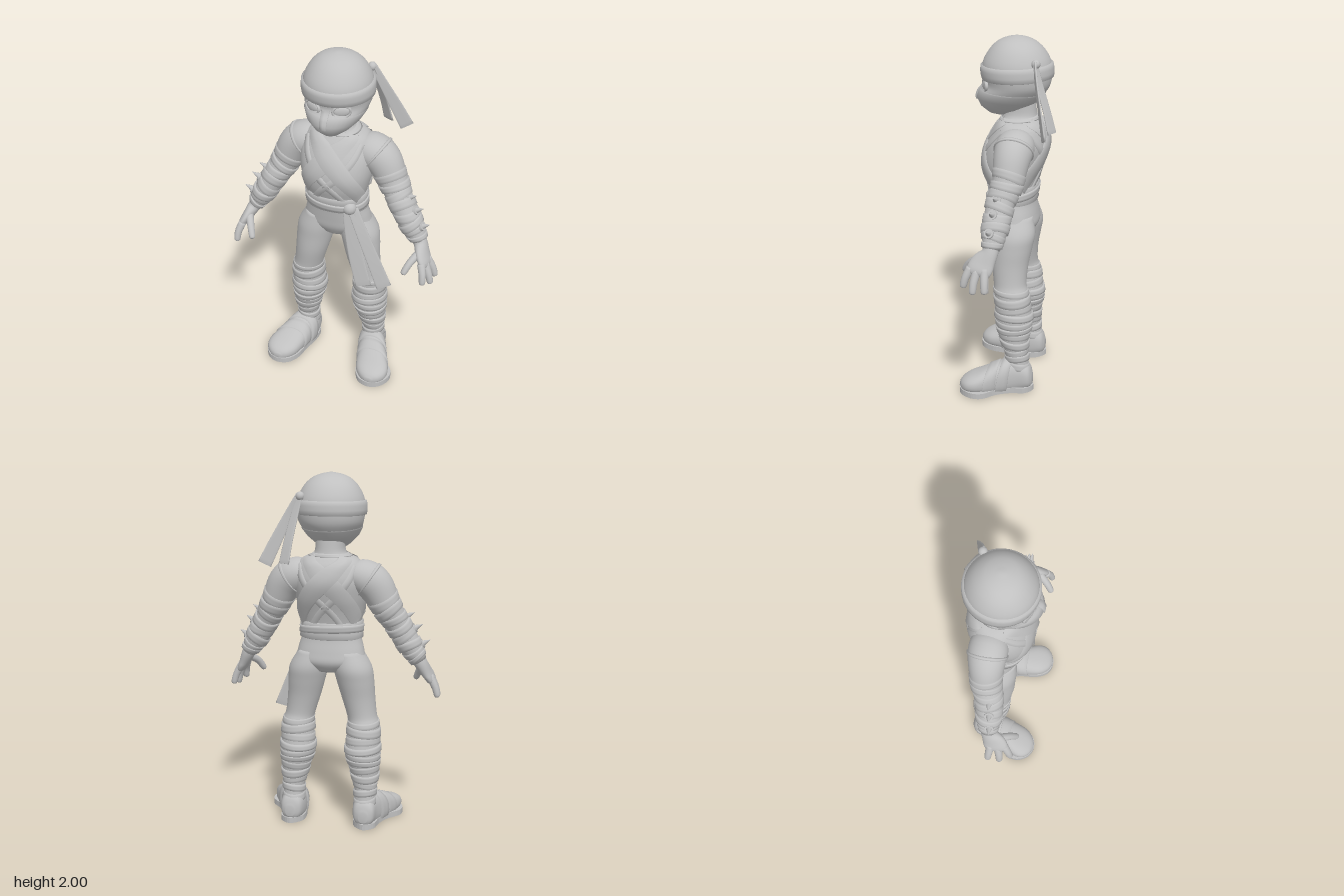
import * as THREE from 'three';
import { mergeVertices } from 'three/addons/utils/BufferGeometryUtils.js';

const V3 = (x, y, z) => new THREE.Vector3(x, y, z);
const DOWN = V3(0, -1, 0), FRONT = V3(0, 0, 1), UP = V3(0, 1, 0);
const rad = THREE.MathUtils.degToRad;

// horizontal section: height, half width, front z, back z
const st = (y, a, zf, zb, x = 0) => [x, y, (zf + zb) / 2, a, (zf - zb) / 2];

// smooth skin through elliptical stations [x, y, z, halfWidth, halfDepth]; returns a point function
function skin(stations, { axis = null, ref = FRONT, power = 1 } = {}) {
  const n = stations.length - 1;
  const centre = new THREE.CatmullRomCurve3(stations.map(s => V3(s[0], s[1], s[2])), false, 'catmullrom');
  const size = new THREE.CatmullRomCurve3(stations.map(s => V3(s[3], s[4], 0)), false, 'catmullrom');
  const f = (t, th, off = 0, k = 1) => {
    const q = THREE.MathUtils.clamp(t / n, 0, 1);
    const c = centre.getPoint(q), r = size.getPoint(q);
    const T = axis || centre.getTangent(q);
    const U = ref.clone().cross(T).normalize(), W = T.clone().cross(U);
    const pw = x => Math.sign(x) * Math.abs(x) ** power;
    return c.addScaledVector(U, k * (r.x + off) * pw(Math.cos(th)))
      .addScaledVector(W, k * (r.y + off) * pw(Math.sin(th)));
  };
  f.n = n;
  return f;
}

// grid of points from f(i, j)
function grid(f, rows, cols) {
  const pos = [], idx = [];
  for (let i = 0; i <= rows; i++) for (let j = 0; j <= cols; j++) pos.push(...f(i, j).toArray());
  for (let i = 0; i < rows; i++) for (let j = 0; j < cols; j++) {
    const a = i * (cols + 1) + j, b = a + cols + 1;
    idx.push(a, a + 1, b, a + 1, b + 1, b);
  }
  let g = new THREE.BufferGeometry();
  g.setAttribute('position', new THREE.Float32BufferAttribute(pos, 3));
  g.setIndex(idx);
  g = mergeVertices(g, 1e-5);
  g.computeVertexNormals();
  return g;
}

// closed body over the whole skin
function body(f, sub = 4, seg = 32) {
  const rows = f.n * sub + 2;
  return grid((i, j) => {
    const t = (i - 1) / sub, k = i === 0 || i === rows ? 0 : 1;
    return f(t, j / seg * Math.PI * 2, 0, k);
  }, rows, seg);
}

// raised wrap running around a skin between t0 and t1
function wrap(f, t0, t1, off, tilt = 0, phase = 0, seg = 36) {
  const across = [[0, -0.004], [0.06, off], [0.35, off], [0.65, off], [0.94, off], [1, -0.004]];
  return grid((i, j) => {
    const th = j / seg * Math.PI * 2;
    return f(t0 + (t1 - t0) * across[i][0] + tilt * Math.sin(th + phase), th, across[i][1]);
  }, 5, seg);
}

// raised strap crossing a skin from (t0, a0) to (t1, a1)
function strap(f, t0, a0, t1, a1, wt, wa, off) {
  const across = [[-1, -0.004], [-0.92, off], [0, off], [0.92, off], [1, -0.004]];
  return grid((i, j) => {
    const u = i / 24, [v, o] = across[j];
    return f(t0 + (t1 - t0) * u + v * wt, rad(a0 + (a1 - a0) * u + v * wa), o);
  }, 24, 4);
}

export function createModel() {
  const root = new THREE.Group();
  root.name = 'maskedFighter';
  const grey = new THREE.MeshStandardMaterial({ color: 0xc0c0c0, side: THREE.DoubleSide });
  grey.name = 'plainGrey';
  const add = (name, geo, parent = root) => {
    const m = new THREE.Mesh(geo, grey);
    m.name = name;
    parent.add(m);
    return m;
  };

  // head with hood, forehead band and face mask
  const head = skin([
    st(2, 0.012, 0.008, -0.02), st(1.99, 0.06, 0.05, -0.065), st(1.97, 0.105, 0.095, -0.11),
    st(1.93, 0.147, 0.137, -0.155), st(1.87, 0.179, 0.172, -0.19), st(1.81, 0.188, 0.18, -0.198),
    st(1.745, 0.18, 0.168, -0.19), st(1.7, 0.163, 0.198, -0.165), st(1.66, 0.14, 0.207, -0.13),
    st(1.62, 0.102, 0.188, -0.08), st(1.585, 0.06, 0.15, -0.02), st(1.568, 0.02, 0.11, 0.05),
  ], { axis: DOWN });
  add('head', body(head, 4, 40));
  add('foreheadBand', wrap(head, 4.25, 5.55, 0.01, 0.12, 0, 44));
  add('faceMask', wrap(head, 6.75, 10.6, 0.005, -0.2, 0, 44));
  add('noseRidge', strap(head, 6, 90, 8.3, 90, 0, 7, 0.012));
  for (const s of [1, -1]) {
    const eye = new THREE.Group();
    eye.name = s > 0 ? 'leftEye' : 'rightEye';
    eye.position.set(s * 0.08, 1.742, 0.15);
    eye.rotation.set(0, s * 0.4, s * 0.08);
    root.add(eye);
    add('eyeRim', new THREE.TorusGeometry(0.047, 0.007, 8, 28), eye).scale.set(1, 0.68, 1.4);
    add('eyeball', new THREE.SphereGeometry(0.042, 20, 12), eye).scale.set(1, 0.66, 0.3);
  }

  // band knot and its two loose tails
  add('bandKnot', new THREE.SphereGeometry(0.024, 14, 10)).position.set(0.14, 1.88, -0.135);
  const tail = (name, pts, ref) => add(name, body(skin(pts, { ref, power: 0.4 }), 5, 16));
  tail('bandTailInner', [[0.14, 1.89, -0.13, 0.018, 0.006], [0.165, 1.78, -0.16, 0.025, 0.005],
    [0.19, 1.64, -0.205, 0.03, 0.005], [0.205, 1.53, -0.235, 0.035, 0.005]], V3(-0.5, 0, 1));
  tail('bandTailOuter', [[0.145, 1.89, -0.13, 0.018, 0.006], [0.2, 1.78, -0.15, 0.025, 0.005],
    [0.27, 1.63, -0.185, 0.034, 0.005], [0.32, 1.52, -0.21, 0.038, 0.005]], V3(0.4, 0, 1));

  // neck, chest and hips
  const torso = skin([
    st(1.66, 0.08, 0.06, -0.11), st(1.57, 0.088, 0.07, -0.12), st(1.54, 0.15, 0.085, -0.14),
    st(1.5, 0.185, 0.11, -0.165), st(1.42, 0.208, 0.152, -0.182), st(1.33, 0.203, 0.175, -0.165),
    st(1.25, 0.185, 0.168, -0.14), st(1.17, 0.165, 0.14, -0.12), st(1.1, 0.167, 0.125, -0.115),
    st(1.02, 0.188, 0.112, -0.13), st(0.96, 0.19, 0.1, -0.135), st(0.905, 0.1, 0.07, -0.1),
  ], { axis: DOWN, power: 0.92 });
  add('torso', body(torso, 5, 40));
  add('collar', wrap(torso, 1.05, 1.5, 0.008, 0.1));
  for (const front of [1, -1]) for (const s of [1, -1]) {
    const a = d => front * (s > 0 ? d : 180 - d);
    const where = front > 0 ? 'chest' : 'back';
    add(where + 'Strap', strap(torso, 1.4, a(142), 6.7, a(26), 0.4, front * s * 11, s > 0 ? 0.013 : 0.008));
    add(where + 'StrapHem', strap(torso, 2.8, a(148), 7, a(62), 0.15, front * s * 4, 0.006));
  }

  // belt with crossing wraps and hanging ends
  add('belt', wrap(torso, 6.75, 8.15, 0.012));
  add('beltWrap', wrap(torso, 7.1, 7.75, 0.018, 0.22, 0.5));
  add('beltKnot', new THREE.SphereGeometry(0.04, 16, 10)).position.set(0.11, 1.13, 0.105);
  tail('beltEndInner', [[0.11, 1.13, 0.115, 0.035, 0.006], [0.13, 1, 0.125, 0.04, 0.005],
    [0.165, 0.82, 0.135, 0.043, 0.005], [0.21, 0.645, 0.14, 0.045, 0.005]], V3(0.2, 0, 1));
  tail('beltEndOuter', [[0.13, 1.13, 0.11, 0.03, 0.006], [0.19, 0.98, 0.115, 0.033, 0.005],
    [0.26, 0.8, 0.11, 0.038, 0.005], [0.32, 0.635, 0.1, 0.043, 0.005]], V3(0.45, 0, 1));

  for (const s of [1, -1]) {
    const side = s > 0 ? 'left' : 'right';
    const flip = pts => pts.map(([x, ...r]) => [s * x, ...r]);

    // arm with bandages
    const arm = new THREE.Group();
    arm.name = side + 'Arm';
    root.add(arm);
    const limb = skin(flip([[0.12, 1.455, -0.035, 0.07, 0.09], [0.19, 1.44, -0.035, 0.098, 0.105],
      [0.255, 1.39, -0.03, 0.1, 0.098], [0.315, 1.28, -0.02, 0.08, 0.082], [0.375, 1.175, 0.008, 0.069, 0.073],
      [0.44, 1.06, 0.022, 0.064, 0.068], [0.495, 0.97, 0.03, 0.043, 0.045]]));
    add('armLimb', body(limb, 5), arm);
    add('sleeveHem', wrap(limb, 1.35, 1.5, 0.006), arm);
    [[2.55, 2.95], [3.0, 3.4], [3.46, 3.85], [3.9, 4.3], [4.35, 4.75], [4.78, 5.2], [5.24, 5.6], [5.62, 5.92]]
      .forEach(([a, b], i) => add('armBandage', wrap(limb, a, b, 0.005 + (i % 2) * 0.003,
        0.09 * (i % 2 ? 1 : -1), i * 1.1), arm));

    // forearm spikes
    const dir = V3(s * 0.87, 0.46, 0.12).normalize();
    for (const [x, y, z] of [[0.466, 1.245, 0.025], [0.51, 1.178, 0.035], [0.553, 1.09, 0.045]]) {
      const spike = new THREE.Group();
      spike.name = 'spike';
      spike.position.set(s * x, y, z);
      spike.quaternion.setFromUnitVectors(UP, dir);
      arm.add(spike);
      add('spikeCone', new THREE.ConeGeometry(0.02, 0.055, 14).translate(0, -0.0275, 0), spike);
      add('spikeBase', new THREE.CylinderGeometry(0.025, 0.028, 0.024, 16).translate(0, -0.056, 0), spike);
    }

    // hand: palm, three fingers and thumb
    const hand = new THREE.Group();
    hand.name = side + 'Hand';
    root.add(hand);
    add('palm', body(skin(flip([[0.483, 0.99, 0.03, 0.04, 0.042], [0.505, 0.95, 0.038, 0.037, 0.046],
      [0.528, 0.905, 0.068, 0.031, 0.066], [0.55, 0.865, 0.088, 0.026, 0.066],
      [0.558, 0.845, 0.094, 0.012, 0.045]])), 4, 24), hand);
    const fingers = [['thumb', [0.515, 0.925, 0.085], [0.48, 0.885, 0.145], [0.457, 0.835, 0.18]],
      ['foreFinger', [0.54, 0.88, 0.13], [0.556, 0.83, 0.155], [0.561, 0.782, 0.168]],
      ['middleFinger', [0.55, 0.87, 0.095], [0.577, 0.81, 0.108], [0.59, 0.76, 0.112]],
      ['lastFinger', [0.55, 0.88, 0.055], [0.582, 0.82, 0.05], [0.597, 0.77, 0.047]]];
    for (const [name, a, b, c] of fingers) {
      const tip = c.map((v, i) => v + (c[i] - b[i]) * 0.2);
      add(name, body(skin(flip([[...a, 0.023, 0.024], [...b, 0.02, 0.021],
        [...c, 0.017, 0.018], [...tip, 0.006, 0.006]])), 4, 16), hand);
    }

    // leg with baggy knee and shin wraps
    const leg = new THREE.Group();
    leg.name = side + 'Leg';
    root.add(leg);
    const shin = skin(flip([[0.1, 1.02, -0.01, 0.08, 0.105], [0.125, 0.93, -0.015, 0.108, 0.12],
      [0.14, 0.85, -0.01, 0.106, 0.113], [0.157, 0.75, -0.002, 0.095, 0.102], [0.178, 0.65, -0.005, 0.085, 0.092],
      [0.19, 0.6, -0.013, 0.088, 0.096], [0.19, 0.51, -0.025, 0.094, 0.098], [0.19, 0.43, -0.03, 0.099, 0.105],
      [0.196, 0.37, -0.032, 0.088, 0.094], [0.205, 0.3, -0.037, 0.076, 0.078], [0.21, 0.2, -0.052, 0.06, 0.062],
      [0.21, 0.1, -0.06, 0.065, 0.068]]), { axis: DOWN });
    add('legLimb', body(shin, 5), leg);
    [[4.6, 5.15], [5.2, 5.75], [5.8, 6.3], [6.35, 6.85], [6.9, 7.5], [7.55, 8.1], [8.15, 8.75],
      [8.8, 9.3], [9.35, 9.75], [9.8, 10.2], [10.25, 10.7]]
      .forEach(([a, b], i) => add('legBandage', wrap(shin, a, b, 0.004 + (i % 2) * 0.004,
        0.1 * (i % 2 ? 1 : -1), i * 1.3 * s), leg));

    // shoe with straps and flat sole
    const shoe = skin(flip([[0.215, 0.07, -0.142, 0.025, 0.03], [0.213, 0.085, -0.12, 0.058, 0.07],
      [0.212, 0.09, -0.06, 0.07, 0.1], [0.225, 0.085, 0, 0.08, 0.102], [0.25, 0.075, 0.07, 0.088, 0.085],
      [0.278, 0.065, 0.15, 0.1, 0.063], [0.288, 0.057, 0.205, 0.09, 0.05], [0.291, 0.05, 0.243, 0.058, 0.034],
      [0.291, 0.045, 0.262, 0.02, 0.015]]), { axis: FRONT, ref: UP, power: 0.85 });
    const flat = (t, th, o, k) => { const p = shoe(t, th, o, k); p.y = Math.max(p.y, 0.012); return p; };
    flat.n = shoe.n;
    add(side + 'Shoe', body(flat, 5, 32));
    add(side + 'InstepStrap', wrap(flat, 2.75, 3.7, 0.009, -0.25));
    add(side + 'ToeStrap', wrap(flat, 3.75, 4.6, 0.006, -0.15));
    const outline = [[0.215, -0.148], [0.272, -0.11], [0.288, -0.03], [0.325, 0.05], [0.385, 0.12], [0.39, 0.18],
      [0.35, 0.245], [0.29, 0.267], [0.225, 0.245], [0.185, 0.18], [0.17, 0.09], [0.148, 0], [0.15, -0.09]];
    const curve = new THREE.CatmullRomCurve3(outline.map(([x, z]) => V3(s * x, -z, 0)), true);
    const sole = new THREE.Shape(curve.getPoints(52).slice(0, -1).map(p => new THREE.Vector2(p.x, p.y)));
    add(side + 'Sole', new THREE.ExtrudeGeometry(sole, { depth: 0.032, bevelEnabled: false }).rotateX(-Math.PI / 2));
  }
  return root;
}
